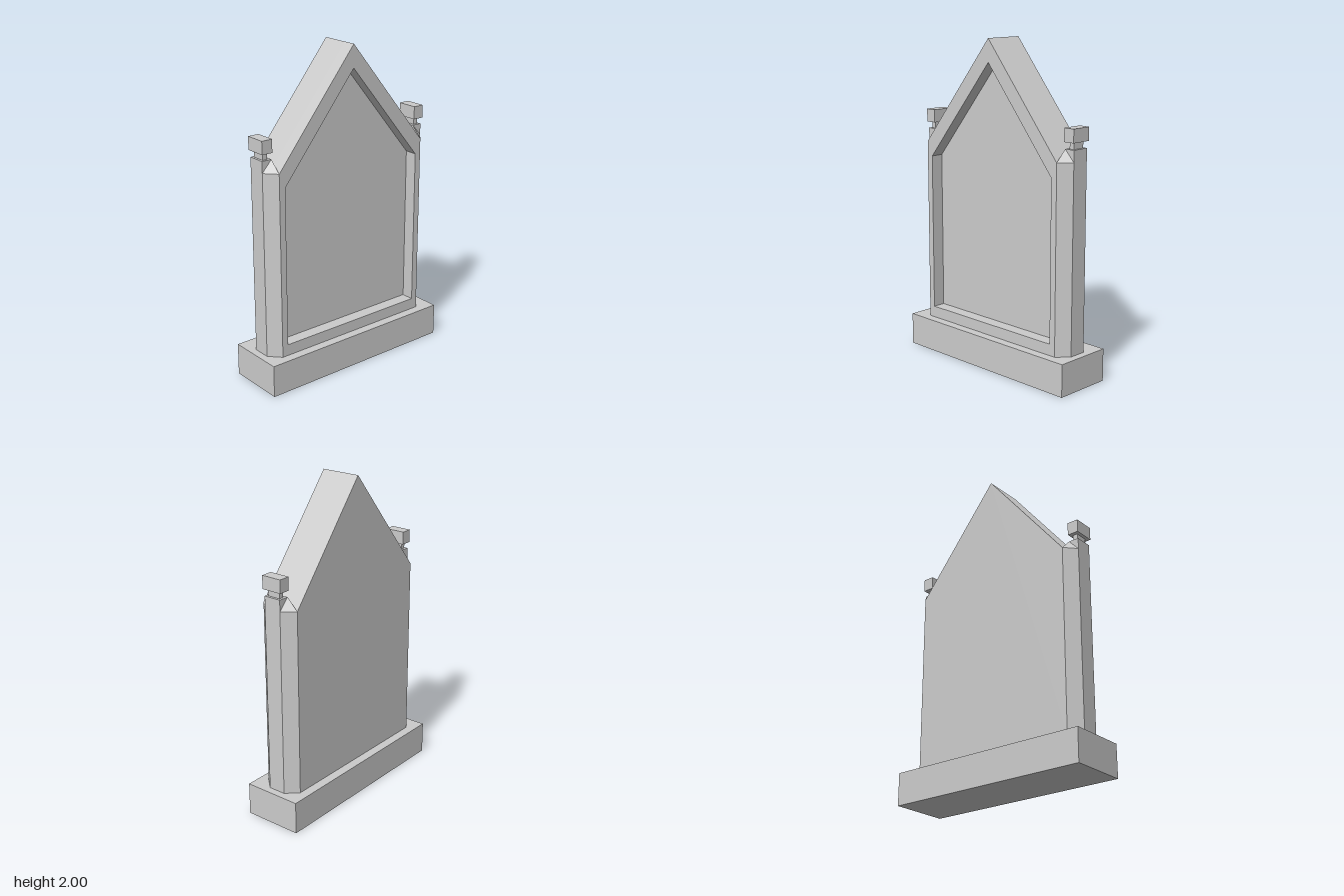
import * as THREE from 'three';

const material = new THREE.MeshStandardMaterial({ color: 0xcccccc, flatShading: true });

function addMesh(parent, name, geometry, x = 0, y = 0, z = 0) {
  const mesh = new THREE.Mesh(geometry, material);
  mesh.name = name;
  mesh.position.set(x, y, z);
  parent.add(mesh);
  return mesh;
}

// Pointed gable outline: straight sides up to the eaves, then a peak
function gable(PathType, halfWidth, bottom, eaves, peak) {
  const path = new PathType();
  path.moveTo(-halfWidth, bottom);
  path.lineTo(halfWidth, bottom);
  path.lineTo(halfWidth, eaves);
  path.lineTo(0, peak);
  path.lineTo(-halfWidth, eaves);
  path.closePath();
  return path;
}

// Chamfered side pillar, lofted through three rings with a bevelled top
function pillarGeometry() {
  const inner = 0.54, outer = 0.605, wide = 0.125, narrow = 0.055;
  const ring = (y, z) => [[inner, y, z], [outer, y, narrow], [outer, y, -narrow], [inner, y, -z]];
  const rings = [ring(0.2, wide), ring(1.34, wide), ring(1.41, narrow)];
  const points = [];
  const tri = (...corners) => corners.forEach((c) => points.push(...c));
  for (let k = 0; k < 2; k++) {
    // the lower inner side is against the slab, so it stays open
    for (let j = 0; j < (k === 0 ? 3 : 4); j++) {
      const n = (j + 1) % 4;
      const p = rings[k][j], q = rings[k][n], r = rings[k + 1][n], s = rings[k + 1][j];
      if (j === 0) { tri(p, q, s); tri(q, r, s); }
      else { tri(p, q, r); tri(p, r, s); }
    }
  }
  const [a, b, c, d] = rings[2];
  tri(a, b, c);
  tri(a, c, d);
  const geometry = new THREE.BufferGeometry();
  geometry.setAttribute('position', new THREE.Float32BufferAttribute(points, 3));
  geometry.computeVertexNormals();
  return geometry;
}

export function createModel() {
  const model = new THREE.Group();
  model.name = 'gabledStone';

  // Plinth
  addMesh(model, 'base', new THREE.BoxGeometry(1.3, 0.2, 0.366), 0, 0.1, 0);

  // Slab: solid back with a raised frame around the recessed front panel
  const back = -0.125, front = 0.125, recess = 0.08;
  const slab = gable(THREE.Shape, 0.54, 0.2, 1.34, 2);
  addMesh(model, 'slab', new THREE.ExtrudeGeometry(slab, {
    depth: front - back - recess, bevelEnabled: false,
  }), 0, 0, back);

  const frame = gable(THREE.Shape, 0.54, 0.2, 1.34, 2);
  frame.holes.push(gable(THREE.Path, 0.5, 0.27, 1.25, 1.86));
  addMesh(model, 'frontFrame', new THREE.ExtrudeGeometry(frame, {
    depth: recess, bevelEnabled: false,
  }), 0, 0, front - recess);

  // Side pillars with finials, the second turned half round
  for (const [name, turn] of [['left', 0], ['right', Math.PI]]) {
    const side = new THREE.Group();
    side.name = name + 'Pillar';
    side.rotation.y = turn;
    addMesh(side, name + 'Shaft', pillarGeometry());
    addMesh(side, name + 'FinialNeck', new THREE.BoxGeometry(0.03, 0.04, 0.08), 0.575, 1.43, 0);
    addMesh(side, name + 'FinialCap', new THREE.BoxGeometry(0.07, 0.08, 0.13), 0.575, 1.49, 0);
    model.add(side);
  }

  return model;
}
